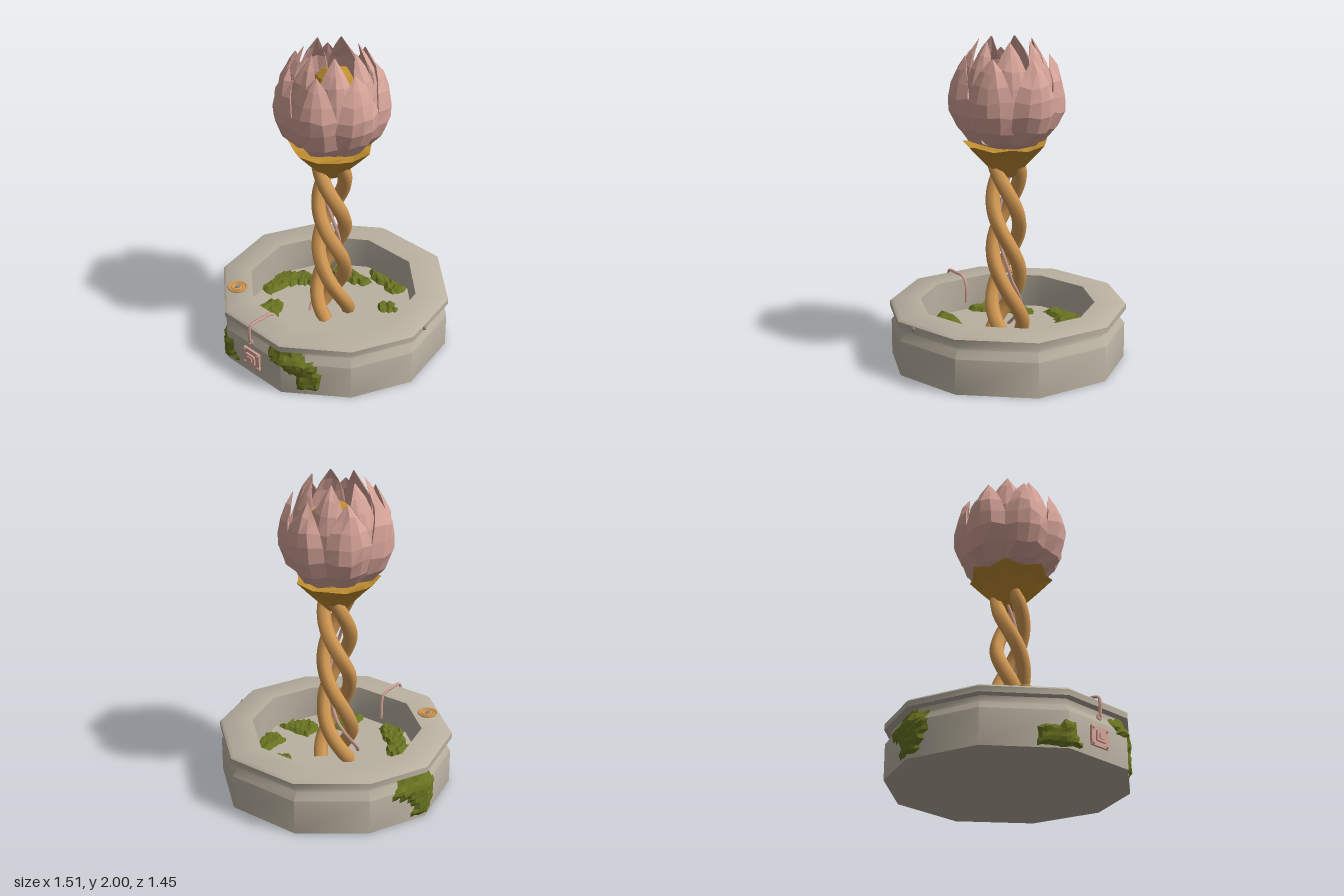
import * as THREE from 'three';
import { toCreasedNormals } from 'three/addons/utils/BufferGeometryUtils.js';

const mat = (name, color) => Object.assign(new THREE.MeshStandardMaterial({ color }), { name });

// small seeded random, -1..1
let seed = 7;
const rnd = () => {
  seed = (seed * 16807) % 2147483647;
  return (seed / 2147483647) * 2 - 1;
};

const V = (x, y, z) => new THREE.Vector3(x, y, z);

function facet(points) {
  const g = new THREE.BufferGeometry().setFromPoints(points);
  g.computeVertexNormals();
  return g;
}

// skin over stacked rings (counter-clockwise from above, bottom to top), closed at both ends
function loft(rings) {
  const out = [], n = rings[0].length;
  for (let i = 0; i < rings.length - 1; i++) {
    for (let j = 0; j < n; j++) {
      const k = (j + 1) % n, a = rings[i], b = rings[i + 1];
      out.push(a[j], a[k], b[k], a[j], b[k], b[j]);
    }
  }
  const mid = (r) => r.reduce((s, p) => s.add(p), V(0, 0, 0)).divideScalar(n);
  const lo = rings[0], hi = rings[rings.length - 1], cl = mid(lo), ch = mid(hi);
  for (let j = 0; j < n; j++) {
    const k = (j + 1) % n;
    out.push(cl, lo[k], lo[j], ch, hi[j], hi[k]);
  }
  return facet(out);
}

const OUTER = [[-.24, .69], [.26, .69], [.60, .42], [.75, .04], [.63, -.41], [.25, -.73], [-.24, -.73], [-.60, -.45], [-.75, -.08], [-.63, .37]];
const INNER = [[-.19, .5], [.2, .5], [.44, .31], [.55, .03], [.46, -.29], [.18, -.53], [-.19, -.53], [-.43, -.35], [-.55, -.06], [-.46, .28]];
const FLOOR = 0.15;

// distance from the axis to the basin wall at an angle
function wallRadius(a) {
  const dx = Math.sin(a), dz = Math.cos(a);
  let best = 0.7;
  OUTER.forEach(([x1, z1], i) => {
    const [x2, z2] = OUTER[(i + 1) % OUTER.length], ex = x2 - x1, ez = z2 - z1;
    const det = dz * ex - dx * ez;
    const t = (z1 * ex - x1 * ez) / det, s = (dx * z1 - dz * x1) / det;
    if (t > 0 && s >= 0 && s <= 1) best = t;
  });
  return best;
}

function inside(poly, u, v) {
  let hit = false;
  poly.forEach(([x1, y1], i) => {
    const [x2, y2] = poly[(i + 1) % poly.length];
    if (y1 > v !== y2 > v && u < x1 + ((v - y1) / (y2 - y1)) * (x2 - x1)) hit = !hit;
  });
  return hit;
}

// lumpy sheet covering an outline in (u, v); place(u, v, height) puts it on a surface
function mossSheet(poly, du, dv, place, flip) {
  const us = poly.map((p) => p[0]), vs = poly.map((p) => p[1]);
  const u0 = Math.min(...us) - du, v0 = Math.min(...vs) - dv;
  const nu = Math.ceil((Math.max(...us) - u0) / du) + 1, nv = Math.ceil((Math.max(...vs) - v0) / dv) + 1;
  // a cell is kept when its centre or a point near one of its sides lies in the outline
  const kept = (i, j) => i >= 0 && j >= 0 && i < nu && j < nv && [[.5, .5], [.1, .5], [.9, .5], [.5, .1], [.5, .9]]
    .some(([p, q]) => inside(poly, u0 + (i + p) * du, v0 + (j + q) * dv));
  const node = [];
  for (let i = 0; i <= nu; i++) {
    node.push([]);
    for (let j = 0; j <= nv; j++) {
      const full = kept(i, j) && kept(i - 1, j) && kept(i, j - 1) && kept(i - 1, j - 1);
      const h = full ? 0.022 + rnd() * 0.007 : -0.002;
      node[i].push(place(u0 + (i + rnd() * .3) * du, v0 + (j + rnd() * .3) * dv, h));
    }
  }
  const out = [];
  for (let i = 0; i < nu; i++) for (let j = 0; j < nv; j++) {
    if (!kept(i, j)) continue;
    const a = node[i][j], b = node[i + 1][j], c = node[i + 1][j + 1], d = node[i][j + 1];
    if (flip) out.push(a, c, b, a, d, c);
    else out.push(a, b, c, a, c, d);
  }
  return facet(out);
}

export function createModel() {
  seed = 7;
  const group = new THREE.Group();
  const stone = mat('stone', 0xb9b0a0), moss = mat('moss', 0x687321), wood = mat('wood', 0xd49a54);
  const gold = mat('gold', 0xc08d30), pink = mat('pink', 0xd6a499), grey = mat('grey', 0x8a827c);
  const add = (name, geo, m, x = 0, y = 0, z = 0, parent = group) => {
    const mesh = new THREE.Mesh(geo, m);
    mesh.name = name;
    mesh.position.set(x, y, z);
    parent.add(mesh);
    return mesh;
  };
  const tube = (pts, r, seg = 24, sides = 6) => new THREE.TubeGeometry(new THREE.CatmullRomCurve3(pts), seg, r, sides);

  // ten-sided basin with a grooved neck, flat rim and sunken floor
  const ring = (poly, s, y) => poly.map(([x, z]) => V(x * s, y, z * s));
  add('basin', toCreasedNormals(loft([
    ring(OUTER, .99, 0), ring(OUTER, .99, .22), ring(OUTER, .94, .27), ring(OUTER, .94, .305),
    ring(OUTER, 1, .31), ring(OUTER, 1, .345), ring(OUTER, .975, .36),
    ring(INNER, 1, .36), ring(INNER, .99, FLOOR),
  ]), .75), stone);
  add('rimKnob', new THREE.SphereGeometry(.014, 6, 4), grey, .72, .33, -.09);

  // moss on the basin floor, outlines in x and z
  const floorMoss = [
    [[-.18, -.53], [.17, -.52], [.16, -.42], [.1, -.4], [0, -.44], [-.08, -.42], [-.13, -.47]],
    [[-.43, -.36], [-.3, -.43], [-.05, -.41], [-.02, -.36], [-.15, -.3], [-.3, -.28], [-.37, -.24], [-.42, -.3]],
    [[-.55, -.06], [-.45, -.18], [-.3, -.19], [-.3, -.1], [-.37, -.02], [-.4, .05], [-.42, .18], [-.5, .17]],
    [[-.36, .2], [-.27, .17], [-.2, .27], [-.1, .35], [-.02, .42], [-.03, .5], [-.17, .5], [-.28, .38], [-.36, .32]],
    [[.15, .27], [.27, .25], [.28, .35], [.33, .39], [.27, .44], [.2, .5], [.13, .47], [.16, .37]],
    [[.3, .05], [.53, .04], [.5, .17], [.43, .24], [.28, .19]],
    [[.36, -.33], [.44, -.36], [.48, -.25], [.53, -.08], [.47, -.04], [.36, -.06], [.38, -.18]],
    [[.16, -.3], [.22, -.34], [.3, -.3], [.29, -.24], [.2, -.21]],
  ];
  for (const p of floorMoss) add('floorMoss', mossSheet(p, .026, .026, (x, z, h) => V(x, FLOOR + h, z), true), moss);

  // moss on the outer wall, outlines in angle and height
  const wallMoss = [
    [[.2, .27], [.28, .3], [.48, .3], [.55, .25], [.66, .2], [.71, .05], [.62, .03], [.5, .04], [.49, .12], [.35, .2], [.24, .2]],
    [[-.58, .02], [-.57, .12], [-.48, .12], [-.36, .16], [-.27, .15], [-.28, .09], [-.17, .04], [-.17, .01]],
    [[-2, .2], [-1.9, .29], [-1.55, .28], [-1.5, .15], [-1.6, .02], [-1.85, .02], [-1.75, .1]],
  ];
  const onWall = (a, y, h) => {
    const r = wallRadius(a) * (.99 - .05 * THREE.MathUtils.clamp((y - .22) / .05, 0, 1)) + h * .75;
    return V(Math.sin(a) * r, Math.max(y, .002), Math.cos(a) * r);
  };
  for (const p of wallMoss) add('wallMoss', mossSheet(p, .036, .026, onWall, false), moss);

  // three twisted stem strands with a thin vine between them
  const helix = (r, flare, phase, y0, y1) => Array.from({ length: 25 }, (_, i) => {
    const y = y0 + (y1 - y0) * i / 24, a = phase - (y - .84) * Math.PI * 2 / .95;
    const q = r + flare * Math.max(0, 1 - (y - y0) / .35);
    return V(Math.sin(a) * q, y, Math.cos(a) * q);
  });
  for (let k = 0; k < 3; k++) {
    add('stemStrand', tube(helix(.082, .025, k * Math.PI * 2 / 3, FLOOR - .01, 1.24), .046, 44, 7), wood);
  }
  add('stemVine', tube(helix(.05, .09, Math.PI / 3, FLOOR, 1.2), .011, 50, 5), pink);

  // vine hooked over the front rim
  add('rimVine', tube([V(0, .2, .48), V(0, .33, .485), V(.002, .372, .52), V(.004, .378, .6), V(.004, .37, .69),
    V(.004, .33, .705), V(.004, .25, .7)], .01, 30, 5), pink);
  add('vineRing', new THREE.TorusGeometry(.016, .007, 5, 10), pink, .004, .248, .695);

  // square plaque on the front wall
  const plaque = new THREE.Group();
  plaque.name = 'plaque';
  plaque.position.set(.005, .125, .69);
  group.add(plaque);
  add('plaqueBase', new THREE.BoxGeometry(.14, .115, .016), pink, 0, 0, 0, plaque);
  add('plaqueFrame', new THREE.BoxGeometry(.075, .06, .016), pink, 0, 0, .012, plaque);
  add('plaqueCentre', new THREE.BoxGeometry(.04, .032, .012), pink, 0, 0, .02, plaque);
  for (const x of [-1, 1]) for (const y of [-1, 1]) {
    add('plaqueStud', new THREE.SphereGeometry(.009, 6, 4), pink, x * .058, y * .046, .008, plaque);
  }

  // round medallion on the rim
  const medal = new THREE.Group();
  medal.name = 'medallion';
  medal.position.set(-.375, .362, .47);
  group.add(medal);
  add('medallionDisc', new THREE.CylinderGeometry(.058, .062, .01, 18), wood, 0, 0, 0, medal);
  add('medallionRing', new THREE.TorusGeometry(.057, .008, 5, 20).rotateX(Math.PI / 2), wood, 0, .004, 0, medal);
  add('medallionInnerRing', new THREE.TorusGeometry(.038, .005, 5, 18).rotateX(Math.PI / 2), wood, 0, .005, 0, medal);
  add('medallionDiamond', new THREE.CylinderGeometry(.02, .024, .008, 4).scale(.75, 1, 1.1), grey, 0, .008, 0, medal);

  // star-edged calyx
  const star = (r1, r2, y1, y2) => Array.from({ length: 14 }, (_, j) => {
    const a = j * Math.PI / 7, r = j % 2 ? r2 : r1;
    return V(Math.sin(a) * r, j % 2 ? y2 : y1, Math.cos(a) * r);
  });
  add('calyx', loft([star(.06, .06, 1.16, 1.16), star(.115, .1, 1.215, 1.215), star(.19, .17, 1.29, 1.3),
    star(.27, .235, 1.375, 1.35), star(.17, .17, 1.345, 1.345)]), gold);

  // golden heart of the flower: a bud with deep folds
  const bud = [[.1, 1.34], [.14, 1.5], [.165, 1.66], [.15, 1.76], [.1, 1.83], [.04, 1.85]].map(([r, y]) =>
    Array.from({ length: 12 }, (_, j) => {
      const a = j * Math.PI / 6, q = r * (j % 2 ? .88 : 1.02) * (1 + rnd() * .08);
      return V(Math.sin(a) * q, y + rnd() * .02, Math.cos(a) * q - .015);
    }));
  add('flowerHeart', loft(bud), gold);

  // two rings of seven cupped petals; profile rows are radius, height, half width
  const outerPetal = [[.12, 1.35, .06], [.24, 1.4, .1], [.315, 1.48, .134], [.355, 1.58, .148], [.36, 1.67, .14],
    [.343, 1.76, .11], [.305, 1.84, .066], [.26, 1.915, .004]];
  const innerPetal = [[.1, 1.35, .05], [.2, 1.42, .08], [.26, 1.52, .11], [.29, 1.63, .125], [.285, 1.74, .118],
    [.26, 1.84, .09], [.22, 1.92, .055], [.165, 2, .004]];
  function petal(name, profile, angle, shift) {
    const rings = profile.map(([r, y, w], i) => {
      const wobble = i > 0 && i < 7 ? 1 : 0;
      const cup = w * .5, thick = Math.min(.035, w * .3);
      const side = (u, depth) => V(u * w, y + wobble * rnd() * .014,
        r + shift - cup * u * u - depth * (1 - .6 * u * u) + wobble * rnd() * .008);
      return [...[-1, -.5, 0, .5, 1].map((u) => side(u, 0)), ...[.9, .45, 0, -.45, -.9].map((u) => side(u, thick))];
    });
    add(name, loft(rings), pink).rotation.y = angle;
  }
  for (let k = 0; k < 7; k++) {
    const step = Math.PI * 2 / 7;
    petal('outerPetal', outerPetal, (k + .5) * step, k === 3 ? .02 : 0);
    petal('innerPetal', innerPetal, k * step, 0);
  }
  return group;
}
